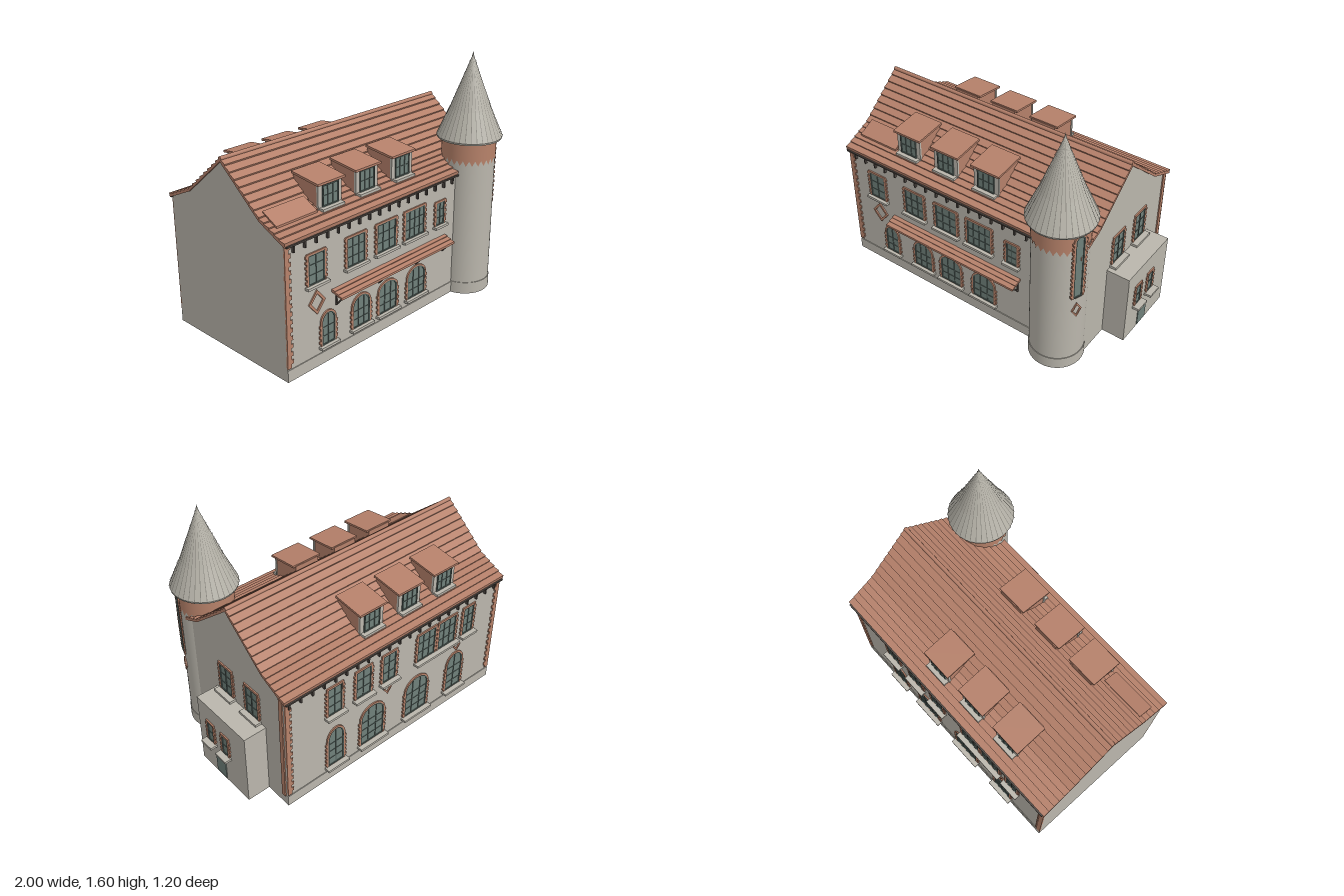
import * as THREE from 'three';

const mat = (name, color) => Object.assign(new THREE.MeshStandardMaterial({ color }), { name });

export function createModel() {
  const stone = mat('stone', 0xbab6ac), tile = mat('terracotta tile', 0xb5806a), brick = mat('brick', 0xb7826a);
  const glass = mat('glass', 0x6f807a), frameMat = mat('window frame', 0x56645f), iron = mat('dark iron', 0x4c4540);
  const coneMat = mat('spire slate', 0xb5b2a8), seamMat = mat('spire seam', 0x86837b);
  const house = new THREE.Group();
  house.name = 'house';

  const RIDGE = -0.07, HALF = 0.49, T = 0.03, XL = -0.99, XR = 0.795;
  const FRONT = RIDGE + HALF, BACK = RIDGE - HALF;

  const add = (parent, geo, m, name, x = 0, y = 0, z = 0) => {
    const mesh = new THREE.Mesh(geo, m);
    mesh.name = name;
    mesh.position.set(x, y, z);
    parent.add(mesh);
    return mesh;
  };
  // Box given by its limits
  const box = (parent, m, name, x0, x1, y0, y1, z0, z1) =>
    add(parent, new THREE.BoxGeometry(x1 - x0, y1 - y0, z1 - z0), m, name, (x0 + x1) / 2, (y0 + y1) / 2, (z0 + z1) / 2);
  const toShape = pts => new THREE.Shape(pts.map(p => new THREE.Vector2(p[0], p[1])));
  const extrude = (shape, depth) => new THREE.ExtrudeGeometry(shape, { depth, bevelEnabled: false });
  // Profile of [z, y] points extruded from x0 to x1
  const extrudeX = (parent, pts, x0, x1, m, name) =>
    add(parent, extrude(toShape(pts), x1 - x0).rotateY(-Math.PI / 2), m, name, x1);

  // Outline of an opening; tooth > 0 gives the sides alternating bricks
  const outline = (w, h, rise, grow = 0, tooth = 0) => {
    const a = w / 2 + grow, spring = h - rise, right = [];
    const n = Math.max(2, Math.round(spring / 0.016));
    for (let i = 0; i < n; i++) {
      const x = a + (i % 2 ? tooth : 0);
      right.push([x, spring * i / n], [x, spring * (i + 1) / n]);
    }
    const arc = [];
    if (rise > 0) {
      for (let i = 0; i <= 14; i++) {
        const t = Math.PI * i / 14;
        arc.push([a * Math.cos(t), spring + (rise + grow) * Math.sin(t)]);
      }
    } else arc.push([a, h + grow], [-a, h + grow]);
    return [...right, ...arc, ...right.map(p => [-p[0], p[1]]).reverse()];
  };
  const ring = (outer, inner) => {
    const s = toShape(outer);
    s.holes.push(new THREE.Path(inner.map(p => new THREE.Vector2(p[0], p[1]))));
    return s;
  };

  // Window facing +z, origin at the middle of its bottom edge
  const makeWindow = (w, h, { rise = 0, cols = 2, rows = 3, sill = 0.03, surround = true } = {}) => {
    const g = new THREE.Group();
    g.name = 'window';
    const open = outline(w, h, rise);
    add(g, extrude(toShape(open), T + 0.006), glass, 'pane', 0, 0, -T - 0.003);
    const b = 0.007, inner = outline(w - 2 * b, h - 2 * b, Math.max(0, rise - b)).map(p => [p[0], p[1] + b]);
    add(g, extrude(ring(open, inner), 0.008), frameMat, 'sash');
    for (let i = 1; i < cols; i++) {
      const x = -w / 2 + w * i / cols, k = 2 * x / w;
      const top = h - rise + rise * Math.sqrt(1 - k * k);
      box(g, frameMat, 'mullion', x - 0.003, x + 0.003, 0.004, top - 0.003, 0, 0.007);
    }
    for (let i = 1; i < rows; i++) {
      const y = (rise ? h - rise * 0.6 : h) * i / rows;
      box(g, frameMat, 'glazingBar', -w / 2 + 0.004, w / 2 - 0.004, y - 0.002, y + 0.002, 0, 0.006);
    }
    if (surround) add(g, extrude(ring(outline(w, h, rise, 0.011, 0.009), open), 0.009), brick, 'brickSurround');
    if (sill) box(g, stone, 'sill', -w / 2 - 0.022, w / 2 + 0.022, -0.016, 0, -0.002, sill);
    return g;
  };
  const place = (obj, x, y, z, turn = 0) => {
    obj.position.set(x, y, z);
    obj.rotation.y = turn;
    house.add(obj);
  };
  const diamond = (w, h, band) => {
    const r = (a, b) => [[a, 0], [0, b], [-a, 0], [0, -b]];
    const g = new THREE.Group();
    add(g, extrude(ring(r(w, h), r(w - band, h - band * h / w)), 0.009), brick, 'diamondOrnament');
    return g;
  };

  // Walls: an open shell
  box(house, stone, 'frontWall', XL, 0.7, 0, 0.85, FRONT - T, FRONT);
  box(house, stone, 'backWall', XL, XR, 0, 0.85, BACK, BACK + T);
  const gable = [[BACK, 0], [FRONT, 0], [FRONT, 0.85], [RIDGE + 0.308, 0.935], [RIDGE, 1.197], [RIDGE - 0.308, 0.935], [BACK, 0.85]];
  extrudeX(house, gable, XL, XL + T, stone, 'leftGable');
  extrudeX(house, gable, XR - T, XR, stone, 'rightGable');
  box(house, stone, 'frontPlinth', XL, 0.5, 0, 0.075, FRONT, FRONT + 0.005);
  box(house, stone, 'backPlinth', XL, XR, 0, 0.075, BACK - 0.005, BACK);

  // Roof: overlapping courses down each bell-cast slope
  const courses = (pts, counts, lift) => {
    const out = [];
    counts.forEach((n, s) => {
      const [a, b] = [pts[s], pts[s + 1]];
      for (let i = 0; i < n; i++) {
        const at = t => [a[0] + (b[0] - a[0]) * t, a[1] + (b[1] - a[1]) * t];
        const p = at(i / n), q = at((i + 1) / n);
        out.push(p, [q[0] + lift * 0.4, q[1] + lift]);
      }
    });
    return out;
  };
  const slope = [[0, 1.208], [0.308, 0.945], [0.507, 0.855]];
  const under = [[0.507, 0.838], [0.308, 0.93], [0, 1.19]];
  for (const s of [1, -1]) {
    const pts = [...courses(slope, [8, 5], 0.01), ...under].map(([d, y]) => [RIDGE + s * d, y]);
    extrudeX(house, pts, -1, 0.81, tile, s > 0 ? 'frontRoof' : 'backRoof');
  }
  add(house, new THREE.CylinderGeometry(0.013, 0.013, 1.81, 10).rotateZ(Math.PI / 2), tile, 'ridgeCap', -0.095, 1.208, RIDGE);
  extrudeX(house, [[0.225, 0.968], [0.225, 0.975], [0.335, 0.918], [0.335, 0.905]], -0.96, -0.66, tile, 'roofPatch');

  // Eaves: gutter and small brackets on both long sides
  for (const [z, s, end] of [[FRONT, 1, 0.47], [BACK, -1, 0.8]]) {
    const z1 = z + s * 0.02;
    box(house, iron, 'gutter', -0.99, end, 0.834, 0.844, z1 - 0.008, z1 + 0.008);
    for (let x = -0.93; x < end; x += 0.085)
      box(house, iron, 'eaveBracket', x - 0.005, x + 0.005, 0.788, 0.838, z + s * 0.008 - 0.009, z + s * 0.008 + 0.009);
  }

  // Toothed brick corners
  const quoin = (x, dir, z) => {
    for (let i = 0; i < 30; i++) {
      const w = i % 2 ? 0.044 : 0.03, y = 0.085 + i * 0.025;
      box(house, brick, 'quoin', Math.min(x, x + dir * w), Math.max(x, x + dir * w), y, y + 0.025, z - 0.006, z + 0.006);
    }
  };
  quoin(XL, 1, FRONT);
  quoin(XL, 1, BACK);
  quoin(XR, -1, BACK);
  box(house, brick, 'cornerStrip', XR - 0.002, XR + 0.008, 0.07, 0.865, -0.545, -0.515);

  // Dormers, three on each slope
  const dormer = () => {
    const g = new THREE.Group();
    g.name = 'dormer';
    extrudeX(g, [[0.388, 0.88], [0.388, 1.064], [0.19, 1.088], [0.19, 1.03]], -0.088, 0.088, tile, 'dormerCheeks');
    box(g, stone, 'dormerFace', -0.092, 0.092, 0.9, 1.062, 0.38, 0.394);
    extrudeX(g, [[0.41, 1.056], [0.41, 1.07], [0.195, 1.096], [0.195, 1.082]], -0.107, 0.107, tile, 'dormerRoof');
    const w = makeWindow(0.125, 0.13, { cols: 3, rows: 2, surround: false, sill: 0.035 });
    w.position.set(0, 0.92, 0.394);
    g.add(w);
    return g;
  };
  for (const x of [-0.55, -0.25, 0.06]) {
    place(dormer(), x, 0, RIDGE);
    place(dormer(), x, 0, RIDGE, Math.PI);
  }

  // Front windows: [centre x, width, height or rise, columns]
  for (const [x, w, h, cols] of [[-0.76, 0.125, 0.185, 2], [-0.445, 0.15, 0.185, 3], [-0.185, 0.165, 0.185, 3], [0.075, 0.18, 0.185, 4], [0.322, 0.08, 0.155, 2]])
    place(makeWindow(w, h, { cols }), x, 0.54, FRONT);
  for (const [x, w, rise, cols] of [[-0.673, 0.105, 0.055, 2], [-0.4, 0.145, 0.065, 3], [-0.165, 0.16, 0.055, 3], [0.102, 0.165, 0.065, 3]])
    place(makeWindow(w, 0.205, { rise, cols }), x, 0.12, FRONT);
  place(diamond(0.065, 0.078, 0.02), -0.76, 0.42, FRONT);

  // Back windows
  for (const [x, w, cols] of [[0.43, 0.11, 2], [0.205, 0.12, 2], [-0.005, 0.11, 2], [-0.325, 0.155, 3], [-0.51, 0.155, 3], [-0.708, 0.095, 2]])
    place(makeWindow(w, 0.21, { cols, sill: 0.04 }), x, 0.54, BACK, Math.PI);
  for (const [x, w, cols] of [[0.42, 0.125, 2], [0.12, 0.19, 3], [-0.265, 0.195, 3], [-0.62, 0.145, 2]])
    place(makeWindow(w, 0.295, { rise: 0.085, cols, rows: 4, sill: 0.04 }), x, 0.115, BACK, Math.PI);
  for (const x of [0, -0.625]) place(diamond(0.034, 0.045, 0.013), x, 0.475, BACK, Math.PI);

  // Right gable windows
  for (const z of [-0.005, -0.257])
    place(makeWindow(0.115, 0.2, { sill: 0.045 }), XR, 0.53, z, Math.PI / 2);

  // Annex: open-bottomed block with two windows and a hatch
  const AX = 0.95;
  box(house, stone, 'annexEnd', AX - T, AX, 0, 0.5, -0.375, 0.1);
  box(house, stone, 'annexFront', XR, AX, 0, 0.5, 0.1 - T, 0.1);
  box(house, stone, 'annexBack', XR, AX, 0, 0.5, -0.375, -0.375 + T);
  box(house, stone, 'annexRoof', XR, AX, 0.49, 0.512, -0.375, 0.103);
  for (const z of [-0.025, -0.172])
    place(makeWindow(0.058, 0.145, { cols: 1, rows: 2, sill: 0.048 }), AX, 0.237, z, Math.PI / 2);
  box(house, glass, 'hatch', AX - 0.002, AX + 0.005, 0.012, 0.15, -0.157, -0.06);

  // Awning over the ground-floor windows
  const awning = [...courses([[FRONT - 0.005, 0.452], [0.5, 0.418]], [3], 0.006), [0.503, 0.41], [FRONT - 0.005, 0.436]];
  extrudeX(house, awning, -0.64, 0.385, tile, 'awning');
  for (const x of [-0.605, -0.24, 0.1, 0.365]) {
    box(house, iron, 'awningPost', x - 0.005, x + 0.005, 0.34, 0.435, FRONT, FRONT + 0.008);
    const strut = box(house, iron, 'awningStrut', x - 0.005, x + 0.005, 0.325, 0.43, 0.451, 0.459);
    strut.rotation.x = 0.75;
  }

  // Round tower
  const tower = new THREE.Group();
  tower.name = 'tower';
  tower.position.set(0.64, 0, 0.39);
  house.add(tower);
  add(tower, new THREE.CylinderGeometry(0.171, 0.171, 1.06, 64), stone, 'towerWall', 0, 0.53);
  add(tower, new THREE.CylinderGeometry(0.175, 0.175, 0.08, 64), stone, 'towerPlinth', 0, 0.04);
  // Brick band with a zigzag lower edge
  const band = new THREE.CylinderGeometry(0.174, 0.174, 0.16, 56, 1, true);
  const bp = band.attributes.position;
  for (let i = 57; i < 114; i++) if (i % 2) bp.setY(i, -0.045);
  add(tower, band, brick, 'brickBand', 0, 0.98);
  // Spire with standing seams
  const spire = [[0, 1.05], [0.207, 1.05], [0.21, 1.062], [0.131, 1.24], [0.004, 1.575]];
  const profile = (pts, out) => pts.map(([r, y]) => new THREE.Vector2(r + out, y));
  const cone = new THREE.LatheGeometry(profile(spire, 0), 36).toNonIndexed();
  cone.computeVertexNormals();
  add(tower, cone, coneMat, 'spire');
  for (let i = 0; i < 36; i++)
    add(tower, new THREE.LatheGeometry(profile(spire.slice(2), 0.003), 1, i * Math.PI / 18 - 0.011, 0.022), seamMat, 'spireSeam');
  add(tower, new THREE.ConeGeometry(0.009, 0.04, 10), coneMat, 'finial', 0, 1.58);
  // Stair window and ornament on the tower's outer side
  const turn = THREE.MathUtils.degToRad(70);
  const dirX = Math.sin(turn), dirZ = Math.cos(turn);
  place(makeWindow(0.064, 0.455, { rise: 0.032, cols: 1, rows: 1, sill: 0 }), 0.64 + 0.1715 * dirX, 0.57, 0.39 + 0.1715 * dirZ, turn);
  place(diamond(0.036, 0.056, 0.011), 0.64 + 0.169 * dirX, 0.468, 0.39 + 0.169 * dirZ, turn);

  return house;
}
